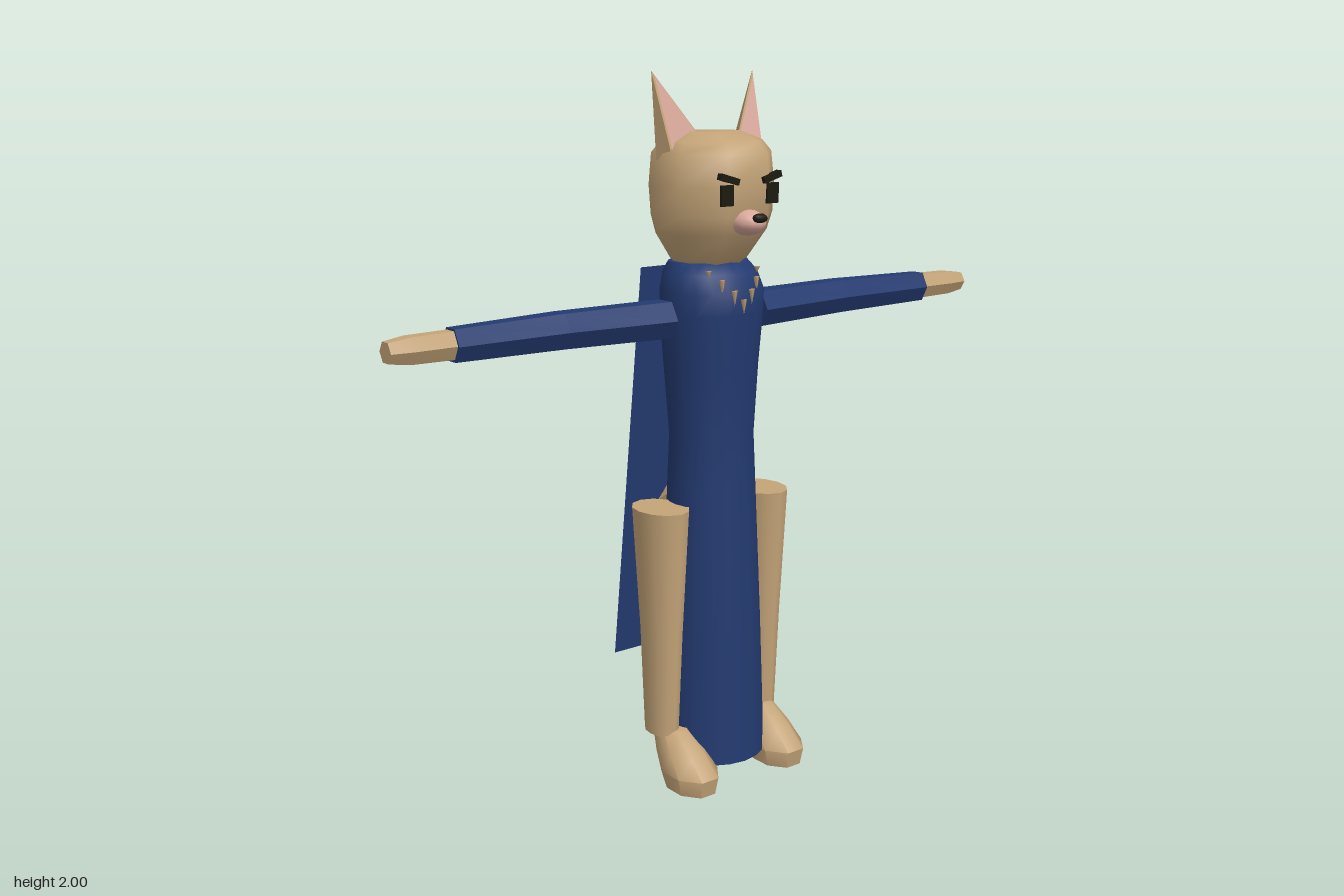
import * as THREE from 'three';
import { toCreasedNormals } from 'three/addons/utils/BufferGeometryUtils.js';

const V = (x, y, z) => new THREE.Vector3(x, y, z);

// Closed skin over rings { c: centre, u, v: half axes }; u x v points along the rings
function loft(rings, n, phase = 0, crease = 0.9) {
  const pos = [], idx = [];
  for (const { c, u, v } of rings) {
    for (let j = 0; j < n; j++) {
      const a = phase + (j / n) * Math.PI * 2;
      pos.push(...c.clone().addScaledVector(u, Math.cos(a)).addScaledVector(v, Math.sin(a)).toArray());
    }
  }
  const last = (rings.length - 1) * n;
  for (let i = 0; i < last; i += n) {
    for (let j = 0; j < n; j++) {
      const k = (j + 1) % n;
      idx.push(i + j, i + k, i + n + k, i + j, i + n + k, i + n + j);
    }
  }
  for (let j = 1; j < n - 1; j++) {
    idx.push(0, j + 1, j, last, last + j, last + j + 1);
  }
  const g = new THREE.BufferGeometry();
  g.setAttribute('position', new THREE.Float32BufferAttribute(pos, 3));
  g.setIndex(idx);
  return toCreasedNormals(g, crease);
}

// Upright skin from rows [y, half width, back z, front z], bottom to top
function upright(rows, n, x = 0, phase = 0, grow = 1, crease = 0.9) {
  return loft(rows.map(([y, w, z0, z1]) => ({
    c: V(x, y, (z0 + z1) / 2), u: V(0, 0, ((z1 - z0) / 2) * grow), v: V(w * grow, 0, 0),
  })), n, phase, crease);
}

// Loose triangles from lists of points
function facets(points) {
  const g = new THREE.BufferGeometry().setFromPoints(points);
  g.computeVertexNormals();
  return g;
}

export function createModel() {
  const model = new THREE.Group();
  const material = (name, color, side = THREE.FrontSide) => {
    const m = new THREE.MeshStandardMaterial({ color, side });
    m.name = name;
    return m;
  };
  const tan = material('tan fur', 0xc4a478, THREE.DoubleSide);
  const blue = material('navy cloth', 0x233a70, THREE.DoubleSide);
  const pink = material('pink skin', 0xd9a89b, THREE.DoubleSide);
  const dark = material('dark features', 0x1c1a10);
  const add = (name, geometry, mat) => {
    const mesh = new THREE.Mesh(geometry, mat);
    mesh.name = name;
    model.add(mesh);
    return mesh;
  };

  // Long robe
  add('robe', upright([
    [0.05, 0.155, -0.12, 0.195], [0.45, 0.143, -0.1, 0.178], [0.85, 0.128, -0.085, 0.16],
    [1.0, 0.121, -0.08, 0.155], [1.2, 0.135, -0.095, 0.165], [1.35, 0.147, -0.105, 0.178],
    [1.41, 0.147, -0.103, 0.18], [1.46, 0.138, -0.09, 0.15], [1.49, 0.12, -0.07, 0.11],
  ], 20), blue);

  // Cape hanging behind
  const capeTop = [V(-0.12, 1.46, -0.13), V(0.12, 1.46, -0.13)];
  const capeHem = [V(-0.17, 0.3, -0.21), V(0.17, 0.3, -0.21)];
  add('cape', facets([capeTop[0], capeTop[1], capeHem[1], capeTop[0], capeHem[1], capeHem[0]]), blue);

  // Head with eight soft sides
  add('head', upright([
    [1.47, 0.085, -0.03, 0.1], [1.5, 0.11, -0.06, 0.12], [1.57, 0.15, -0.1, 0.175],
    [1.62, 0.162, -0.115, 0.195], [1.7, 0.166, -0.122, 0.2], [1.785, 0.157, -0.12, 0.195],
    [1.815, 0.135, -0.095, 0.168], [1.84, 0.08, -0.03, 0.1],
  ], 8, 0, Math.PI / 8, 1 / Math.cos(Math.PI / 8), 1.1), tan);

  // Ears: four-sided spikes with a pink inner face
  const ear = (name, inner, ridge, outer, back, tip) => {
    add(name, facets([inner, ridge, tip, ridge, outer, tip, outer, back, tip, back, inner, tip]), tan);
    const mid = inner.clone().add(ridge).add(tip).divideScalar(3);
    add(name + 'Lining', facets([inner, ridge, tip].map((p) =>
      p.clone().lerp(mid, 0.1).add(V(0, 0, 0.004)))), pink);
  };
  ear('leftEar', V(0.08, 1.79, 0.04), V(0.165, 1.77, 0.06), V(0.195, 1.76, 0.0),
    V(0.12, 1.8, -0.02), V(0.173, 2, 0));
  ear('rightEar', V(-0.15, 1.77, 0.06), V(-0.05, 1.835, 0.04), V(-0.1, 1.8, -0.02),
    V(-0.16, 1.765, 0.0), V(-0.175, 2, 0));

  // Muzzle and nose
  const muzzle = add('muzzle', new THREE.SphereGeometry(1, 12, 8), pink);
  muzzle.scale.set(0.047, 0.035, 0.06);
  muzzle.position.set(0, 1.605, 0.19);
  const nose = add('nose', new THREE.SphereGeometry(1, 8, 6), dark);
  nose.scale.set(0.024, 0.013, 0.017);
  nose.position.set(0, 1.62, 0.243);

  // Tufts of chest fur in a V at the collar
  for (const [x, y] of [[-0.085, 1.465], [-0.06, 1.43], [-0.03, 1.4], [0, 1.375], [0.03, 1.4], [0.06, 1.43], [0.085, 1.465]]) {
    const tuft = add('chestTuft', new THREE.ConeGeometry(0.011, y > 1.45 ? 0.018 : 0.042, 4), tan);
    const depth = y > 1.45 ? 0.115 : y > 1.42 ? 0.133 : 0.141;
    tuft.rotation.x = Math.PI;
    tuft.scale.z = 0.5;
    tuft.position.set(x, y, 0.038 + depth * Math.sqrt(1 - (x / 0.147) ** 2));
  }

  for (const s of [1, -1]) {
    const side = s > 0 ? 'left' : 'right';

    // Eye and slanted brow
    const eye = add(side + 'Eye', new THREE.BoxGeometry(0.04, 0.055, 0.009), dark);
    eye.position.set(s * 0.078, 1.68, 0.2);
    const brow = add(side + 'Brow', new THREE.BoxGeometry(0.062, 0.017, 0.02), dark);
    brow.position.set(s * 0.073, 1.723, 0.201);
    brow.rotation.z = s * 0.28;

    // Six-sided sleeve and hand, rows [x, y, z, half height, half depth]
    const limb = (rows) => loft(rows.map(([x, y, z, h, d]) => ({
      c: V(s * x, y, z), u: V(0, 0, -s * d), v: V(0, h / Math.sin(Math.PI / 3), 0),
    })), 6, 0, 0.6);
    add(side + 'Sleeve', limb([
      [0.158, 1.34, 0.035, 0.05, 0.058], [0.49, 1.342, 0.018, 0.047, 0.053],
      [0.82, 1.342, 0.03, 0.042, 0.042],
    ]), blue);
    add(side + 'Hand', limb([
      [0.815, 1.343, 0.03, 0.036, 0.036], [0.94, 1.343, 0.03, 0.034, 0.037],
      [1.0, 1.343, 0.03, 0.026, 0.03],
    ]), tan);

    // Tapered leg and foot
    add(side + 'Leg', upright([
      [0.14, 0.04, -0.028, 0.097], [0.45, 0.052, -0.04, 0.112], [0.81, 0.073, -0.06, 0.132],
    ], 12, s * 0.18), tan);
    add(side + 'Foot', upright([
      [0, 0.062, 0.06, 0.23], [0.05, 0.073, 0.04, 0.24],
      [0.1, 0.062, 0.01, 0.185], [0.157, 0.04, -0.022, 0.11],
    ], 8, s * 0.16, Math.PI / 8, 1.04), tan);
  }

  // Bent tail
  add('tail', loft([
    { c: V(0, 0.785, -0.08), u: V(0, 0.075, 0), v: V(0.03, 0, 0) },
    { c: V(0, 0.705, -0.2), u: V(0, 0.055, -0.03), v: V(0.036, 0, 0) },
    { c: V(0, 0.35, -0.258), u: V(0, 0.001, -0.001), v: V(0.001, 0, 0) },
  ], 6, 0, 0.5), tan);

  return model;
}
